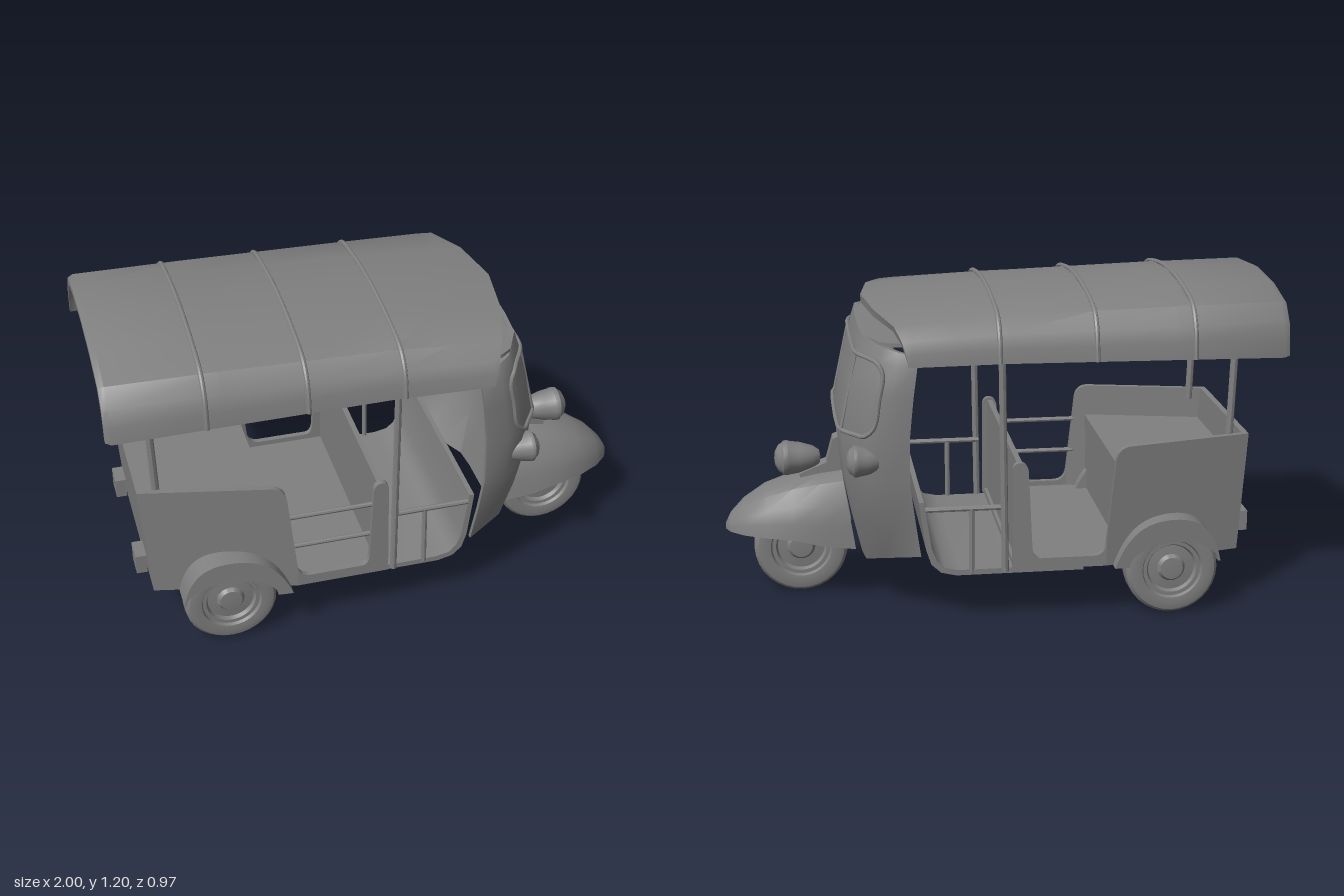
import * as THREE from 'three';
import { toCreasedNormals } from 'three/addons/utils/BufferGeometryUtils.js';

const V = (x, y, z) => new THREE.Vector3(x, y, z);
const lerp = THREE.MathUtils.lerp;
const polygon = pts => new THREE.Shape(pts.map(p => new THREE.Vector2(...p)));

// piecewise linear lookup: rows sorted by their first column
function sample(rows, k) {
  let i = 0;
  while (i < rows.length - 2 && k > rows[i + 1][0]) i++;
  const a = rows[i], b = rows[i + 1];
  const t = THREE.MathUtils.clamp((k - a[0]) / (b[0] - a[0]), 0, 1);
  return a.map((v, j) => lerp(v, b[j], t));
}

// closed loft through rings of equal length; ends are closed by pairing opposite points
function loft(rings) {
  const n = rings[0].length, idx = [], pts = rings.flat();
  const quad = (a, b, c, d) => idx.push(a, b, c, a, c, d);
  for (let r = 0; r < rings.length - 1; r++)
    for (let i = 0; i < n; i++) {
      const j = (i + 1) % n;
      quad(r * n + i, r * n + j, (r + 1) * n + j, (r + 1) * n + i);
    }
  const e = (rings.length - 1) * n;
  for (let i = 0; i < n / 2 - 1; i++) {
    quad(i, n - 1 - i, n - 2 - i, i + 1);
    quad(e + i, e + i + 1, e + n - 2 - i, e + n - 1 - i);
  }
  let vol = 0;
  for (let i = 0; i < idx.length; i += 3)
    vol += pts[idx[i]].dot(pts[idx[i + 1]].clone().cross(pts[idx[i + 2]]));
  if (vol < 0) idx.reverse();
  const g = new THREE.BufferGeometry().setFromPoints(pts);
  g.setIndex(idx);
  return g;
}

// half profile [side, height] mirrored to a full arch, side = +1 .. -1
const mirrorHalf = h => [...h, ...h.slice(0, -1).reverse().map(([a, b]) => [-a, b])];

export function createModel() {
  const root = new THREE.Group();
  const mat = new THREE.MeshStandardMaterial({ color: 0x808080, side: THREE.DoubleSide });
  const add = (name, geo, x = 0, y = 0, z = 0) => {
    const m = new THREE.Mesh(toCreasedNormals(geo, 0.6), mat);
    m.name = name;
    m.position.set(x, y, z);
    root.add(m);
  };
  const box = (name, w, h, d, x, y, z) => add(name, new THREE.BoxGeometry(w, h, d), x, y, z);
  const tube = (name, pts, r, closed = false) => {
    const straight = pts.length === 2;
    const curve = straight ? new THREE.LineCurve3(...pts) : new THREE.CatmullRomCurve3(pts, closed, 'centripetal');
    add(name, new THREE.TubeGeometry(curve, straight ? 1 : pts.length * 4, r, 8, closed));
  };
  const extrude = (shape, depth) => new THREE.ExtrudeGeometry(shape, { depth, bevelEnabled: false, curveSegments: 16 });
  // flat plate from half a plan outline [x, z], top at height y
  const plate = (name, half, y, h) => {
    const pts = [...half, ...half.slice().reverse().map(([x, z]) => [x, -z])];
    add(name, extrude(polygon(pts), h).rotateX(Math.PI / 2), 0, y, 0);
  };

  // ---- canopy: x, eave height, crown height, half width
  const roofRows = [[-1, 0.96, 1.188, 0.445], [-0.98, 0.955, 1.198, 0.455], [-0.6, 0.96, 1.19, 0.458],
    [0, 0.968, 1.168, 0.465], [0.34, 0.97, 1.143, 0.485], [0.48, 0.97, 1.127, 0.485]];
  const arch = mirrorHalf([[1, 0], [0.985, 0.25], [0.95, 0.5], [0.84, 0.76], [0.48, 0.93], [0, 1]]);
  const visorX = [0.345, 0.355, 0.367, 0.39, 0.448, 0.48];
  const roofPoint = (x, i, inset) => {
    const [, lo, hi, w] = sample(roofRows, x), [a, b] = arch[i];
    return V(x, lo + b * (hi - lo - inset), a * (w - inset));
  };
  const roofRing = (xAt, t) => {
    const line = inset => arch.map((_, i) => roofPoint(xAt(Math.min(i, 10 - i)), i, inset));
    return [...line(0), ...line(t).reverse()];
  };
  add('canopy', loft([...[-1, -0.98, -0.6, -0.3, 0, 0.2, 0.335].map(x => roofRing(() => x, 0.022)), roofRing(i => visorX[i], 0.03)]));
  for (const x of [-0.66, -0.31, 0.03]) tube('canopyRib', arch.map((_, i) => roofPoint(x, i, 0)), 0.009);

  // ---- front cowl: centre height, side height, front x, side x, half width, chamfer
  const cowlRows = [[0.18, 0.255, 0.5, 0.305, 0.41, 1], [0.35, 0.39, 0.54, 0.325, 0.425, 0.4], [0.52, 0.53, 0.572, 0.343, 0.435, 0.1],
    [0.7, 0.7, 0.583, 0.343, 0.44, 0], [0.86, 0.85, 0.55, 0.328, 0.44, 0], [0.98, 0.95, 0.518, 0.314, 0.438, 0], [1.04, 0.99, 0.5, 0.31, 0.42, 0]];
  const plan = mirrorHalf([[1, 0], [0.985, 0.35], [0.91, 0.62], [0.62, 0.95], [0.3, 1], [0, 1]]);
  const cowlRing = ([yc, ys, xf, xs, w, c]) => {
    const line = t => plan.map(([a, b]) => {
      const cut = Math.abs(a) > 0.5 ? lerp(a, Math.sign(a) * (1 - 0.5 * b), c) : a;
      return V(lerp(xs, xf - t, b), lerp(ys, yc, b), cut * (w - t));
    });
    return [...line(0), ...line(0.018).reverse()];
  };
  add('frontCowl', loft(cowlRows.map(cowlRing)));
  const onCowl = (y, z) => {
    const [, , xf, xs, w] = sample(cowlRows, y);
    const f = sample(plan.slice(0, 6).reverse(), Math.abs(z) / w)[1];
    return V(lerp(xs, xf, f) + 0.003, y, z);
  };
  const side = [[0, 0.975], [0.15, 0.975], [0.27, 0.975], [0.36, 0.972], [0.4, 0.965], [0.413, 0.93], [0.415, 0.84],
    [0.413, 0.74], [0.395, 0.705], [0.35, 0.7], [0.27, 0.698], [0.15, 0.698], [0, 0.698]];
  tube('windscreenFrame', [...side.map(([z, y]) => onCowl(y, z)),
    ...side.slice(1, -1).reverse().map(([z, y]) => onCowl(y, -z))], 0.008, true);
  for (const s of [1, -1]) tube('windscreenPillar', [onCowl(0.7, 0.275 * s), onCowl(0.97, 0.265 * s)], 0.006);
  // header closing the cowl to the canopy
  const header = mirrorHalf([[0.435, 0.96], [0.43, 1.02], [0.38, 1.06], [0.25, 1.075], [0, 1.075]]);
  add('header', extrude(polygon([...header, [-0.4, 0.96], [-0.37, 1.01], [0.37, 1.01], [0.4, 0.96]]), 0.03).rotateY(Math.PI / 2), 0.315);
  plate('headerPlate', [[0.32, 0.4], [0.4, 0.39], [0.44, 0.36], [0.485, 0.25]], 1.035, 0.014);

  // ---- floor pan curving up behind the cowl
  const path = [[-0.28, 0.18], [0.18, 0.18], [0.235, 0.193], [0.27, 0.225], [0.288, 0.28], [0.312, 0.46]];
  const inner = [[-0.28, 0.2], [0.17, 0.2], [0.222, 0.211], [0.25, 0.238], [0.268, 0.285], [0.294, 0.46]];
  const floorOutline = [...path, ...inner.reverse()];
  add('floorPan', loft([-0.415, 0.415].map(z => floorOutline.map(([x, y]) => V(x, y, z)))));

  // ---- passenger tub, narrowing towards the tail
  const taper = x => 0.22 * Math.max(0, -0.36 - x);
  const tubSide = new THREE.Shape();
  tubSide.moveTo(-0.87, 0.2);
  tubSide.lineTo(-0.9, 0.64);
  tubSide.lineTo(-0.44, 0.64);
  tubSide.quadraticCurveTo(-0.395, 0.635, -0.39, 0.59);
  tubSide.lineTo(-0.36, 0.29);
  tubSide.lineTo(-0.36, 0.2);
  const sill = new THREE.Shape();
  sill.moveTo(-0.36, 0.2);
  sill.lineTo(-0.36, 0.29);
  sill.quadraticCurveTo(-0.355, 0.24, -0.31, 0.24);
  sill.lineTo(-0.12, 0.24);
  sill.quadraticCurveTo(-0.095, 0.24, -0.09, 0.28);
  sill.lineTo(-0.075, 0.57);
  sill.quadraticCurveTo(-0.07, 0.6, -0.045, 0.6);
  sill.quadraticCurveTo(-0.02, 0.6, -0.02, 0.57);
  sill.lineTo(-0.02, 0.2);
  const fender = new THREE.Shape();
  fender.moveTo(-0.78, 0.2);
  fender.bezierCurveTo(-0.755, 0.32, -0.7, 0.37, -0.6, 0.37);
  fender.bezierCurveTo(-0.49, 0.37, -0.43, 0.32, -0.385, 0.2);
  fender.lineTo(-0.44, 0.2);
  fender.absellipse(-0.605, 0.2, 0.165, 0.085, 0, Math.PI, false);
  // shear a panel sideways so that it follows the taper
  const lean = (geo, shift) => {
    const p = geo.attributes.position;
    for (let i = 0; i < p.count; i++) p.setZ(i, p.getZ(i) - shift(p.getX(i)));
    geo.computeVertexNormals();
    return geo;
  };
  for (const s of [1, -1]) {
    add('tubSide', lean(extrude(tubSide, 0.022), x => s * taper(x)), 0, 0, s > 0 ? 0.418 : -0.44);
    add('sillPanel', extrude(sill, 0.022), 0, 0, s > 0 ? 0.418 : -0.44);
    add('rearFender', lean(extrude(fender, 0.11), x => s * 0.08 * (-0.4 - x)), 0, 0, s > 0 ? 0.365 : -0.475);
    tube('rearPost', [V(-0.83, 0.6, 0.305 * s), V(-0.845, 1.12, 0.305 * s)], 0.014);
    tube('middlePost', [V(0.005, 0.19, 0.42 * s), V(0.018, 1.02, 0.42 * s)], 0.013);
    tube('doorRail', [V(0, 0.43, 0.41 * s), V(0.29, 0.43, 0.41 * s)], 0.01);
    tube('doorUpright', [V(0.125, 0.19, 0.41 * s), V(0.125, 0.43, 0.41 * s)], 0.01);
    box('tailLamp', 0.04, 0.075, 0.09, -0.9, 0.29, 0.235 * s);
  }
  for (const y of [0.5, 0.37]) tube('passengerRail', [V(-0.4, y, 0.42), V(-0.07, y, 0.42)], 0.009);
  tube('rearCrossbar', [V(-0.843, 0.94, -0.305), V(-0.843, 0.94, 0.305)], 0.01);
  tube('middleCrossbar', [V(0.017, 1, -0.42), V(0.017, 1, 0.42)], 0.01);
  const tail = polygon([[-0.87, 0.2], [-0.9, 0.64], [-0.878, 0.64], [-0.848, 0.2]]);
  add('tailPanel', extrude(tail, 0.64), 0, 0, -0.32);
  const inTub = x => [x, 0.425 - taper(x)];
  plate('tubFloor', [-0.868, -0.36, -0.025].map(inTub), 0.22, 0.02);
  plate('benchSeat', [-0.87, -0.43].map(inTub), 0.52, 0.06);
  box('benchFront', 0.03, 0.26, 0.8, -0.45, 0.34, 0);
  box('partition', 0.02, 0.39, 0.84, -0.048, 0.395, 0);

  // ---- front mudguard: x, crown, half width, lower edge, forward lean of the crown
  const guardRows = [[0.525, 0.47, 0.17, 0.205, 0.04], [0.65, 0.46, 0.178, 0.225, 0], [0.75, 0.44, 0.175, 0.25, 0], [0.85, 0.405, 0.15, 0.255, 0],
    [0.93, 0.355, 0.108, 0.255, 0], [0.98, 0.305, 0.062, 0.255, 0], [1, 0.268, 0.02, 0.255, 0]];
  const hood = mirrorHalf([[1, 0], [0.95, 0.32], [0.86, 0.62], [0.6, 0.92], [0.3, 0.99], [0, 1]]);
  add('frontMudguard', loft(guardRows.map(([x, hi, w, lo, fwd]) => {
    const t = Math.min(0.014, w * 0.4, (hi - lo) * 0.4);
    const line = d => hood.map(([a, b]) => V(x + fwd * b, lo + b * (hi - lo - d), a * (w - d)));
    return [...line(0), ...line(t).reverse()];
  })));

  // ---- lamps, pointed at the back
  const lamp = (name, r, len, x, y, z) => {
    const prof = [[0, 0], [0.4, 0.03], [0.66, 0.17], [0.88, 0.45], [0.97, 0.68], [1, 0.7], [1, 0.8], [0.9, 0.82], [0.75, 0.91], [0.4, 0.98], [0, 1]];
    const g = new THREE.LatheGeometry(prof.map(([a, b]) => new THREE.Vector2(a * r, b * len)), 16);
    add(name, g.rotateZ(-Math.PI / 2), x, y, z);
  };
  lamp('headlamp', 0.065, 0.172, 0.64, 0.512, 0.01);
  for (const s of [1, -1]) lamp('sideLamp', 0.057, 0.135, 0.428, 0.612, 0.378 * s);
  const neck = polygon([[0.55, 0.45], [0.57, 0.6], [0.595, 0.59], [0.62, 0.5], [0.72, 0.46], [0.72, 0.42]]);
  add('headlampBracket', extrude(neck, 0.07), 0, 0, -0.03);

  // ---- wheels
  const wheel = (name, R, h, x, z) => {
    const half = [[0, 0.85], [0.24, 0.8], [0.3, 0.55], [0.5, 0.5], [0.54, 0.75], [0.62, 0.75], [0.65, 0.95], [0.8, 1], [0.92, 0.92], [0.985, 0.7], [1, 0.35]];
    const prof = [...half.map(([a, b]) => [a, -b]), ...half.slice().reverse()];
    const g = new THREE.LatheGeometry(prof.map(([a, b]) => new THREE.Vector2(a * R, b * h)), 32);
    add(name, g.rotateX(Math.PI / 2), x, R, z);
  };
  wheel('frontWheel', 0.175, 0.058, 0.723, 0.01);
  for (const s of [1, -1]) wheel('rearWheel', 0.17, 0.055, -0.605, 0.38 * s);
  return root;
}
